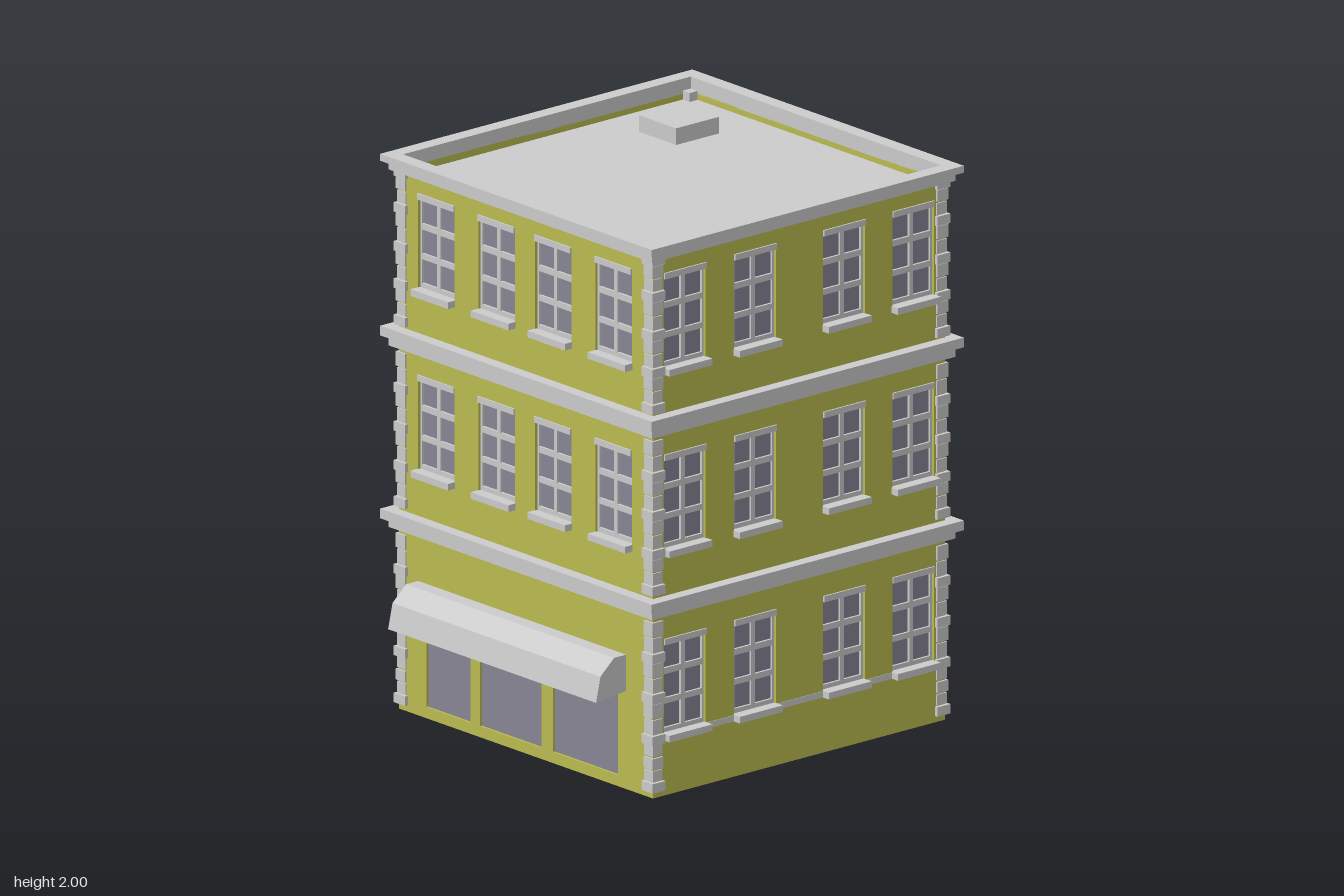
import * as THREE from 'three';

const mat = (color, extra = {}) => new THREE.MeshStandardMaterial({ color, flatShading: true, ...extra });
const STONE = mat(0xcccccc);
const WALL = mat(0xbaba50);
const GLASS = mat(0x878594, { side: THREE.DoubleSide });

// Building centre and half sizes of the wall block
const CX = 0.045, CZ = -0.0025, HX = 0.665, HZ = 0.6625;
const THICK = 0.01;
const FLOORS = [0.2, 0.865, 1.52]; // sill heights
const WIN_W = 0.19, WIN_H = 0.365;

function mesh(name, geo, material, parent) {
  const m = new THREE.Mesh(geo, material);
  m.name = name;
  parent.add(m);
  return m;
}

// Box given by its min and max corners
function box(name, x0, x1, y0, y1, z0, z1, material, parent) {
  const m = mesh(name, new THREE.BoxGeometry(x1 - x0, y1 - y0, z1 - z0), material, parent);
  m.position.set((x0 + x1) / 2, (y0 + y1) / 2, (z0 + z1) / 2);
  return m;
}

function rect(Type, x0, x1, y0, y1) {
  return new Type([[x0, y0], [x1, y0], [x1, y1], [x0, y1]].map(p => new THREE.Vector2(...p)));
}

const extrude = (shape, depth) => new THREE.ExtrudeGeometry(shape, { depth, bevelEnabled: false });

// Horizontal ring around the building, reaching out past the wall plane
function ring(name, y0, y1, out, parent) {
  const s = rect(THREE.Shape, -HX - out, HX + out, -HZ - out, HZ + out);
  s.holes.push(rect(THREE.Path, -HX + THICK, HX - THICK, -HZ + THICK, HZ - THICK));
  const m = mesh(name, extrude(s, y1 - y0), STONE, parent);
  m.rotation.x = -Math.PI / 2;
  m.position.set(CX, y0, CZ);
}

// Six-pane sash with lintel, sill and glass; origin at bottom centre
function makeWindow() {
  const g = new THREE.Group();
  g.name = 'window';
  const w = WIN_W / 2;
  const s = rect(THREE.Shape, -w, w, 0, WIN_H);
  for (const side of [-1, 1]) {
    for (const y of [0.04, 0.147, 0.255]) {
      const a = side * 0.009, b = side * 0.086;
      s.holes.push(rect(THREE.Path, Math.min(a, b), Math.max(a, b), y, y + 0.086));
    }
  }
  mesh('windowFrame', extrude(s, 0.015), STONE, g).position.z = -0.025;
  const pane = mesh('windowGlass', new THREE.PlaneGeometry(WIN_W - 0.01, WIN_H - 0.02), GLASS, g);
  pane.position.set(0, WIN_H / 2, -0.019);
  box('lintel', -w, w, WIN_H - 0.022, WIN_H, -0.02, 0.006, STONE, g);
  box('sill', -0.098, 0.098, 0, 0.024, -0.02, 0.033, STONE, g);
  return g;
}

// One facade in its own frame: u across, y up, +z outward
function makeFacade({ name, angle, half, dist, cols, floors, shop = [], band = false }) {
  const g = new THREE.Group();
  g.name = name;
  g.rotation.y = angle;
  g.position.set(CX + Math.sin(angle) * dist, 0, CZ + Math.cos(angle) * dist);

  const s = rect(THREE.Shape, -half, half, 0, 1.95);
  for (const y of floors) {
    for (const u of cols) {
      s.holes.push(rect(THREE.Path, u - WIN_W / 2, u + WIN_W / 2, y, y + WIN_H));
      const win = makeWindow();
      win.position.set(u, y, 0);
      g.add(win);
    }
  }
  // Shop openings with large recessed panes
  for (const [a, b] of shop) {
    s.holes.push(rect(THREE.Path, a, b, 0.04, 0.45));
    const pane = mesh('shopGlass', new THREE.PlaneGeometry(b - a, 0.41), GLASS, g);
    pane.position.set((a + b) / 2, 0.245, -0.009);
  }
  mesh(name + 'Wall', extrude(s, THICK), WALL, g).position.z = -THICK;

  // Stone course linking the ground-floor sills
  if (band) {
    for (let i = 0; i < cols.length - 1; i++) {
      box('sillCourse', cols[i] + 0.095, cols[i + 1] - 0.095, 0.2, 0.222, -0.012, 0.002, STONE, g);
    }
    box('sillCourse', cols[3] + 0.095, half - 0.03, 0.2, 0.222, -0.012, 0.002, STONE, g);
  }
  return g;
}

// Corner stones: wide blocks with narrow ones stacked between them
function makeQuoins(sx, sz) {
  const g = new THREE.Group();
  g.name = 'cornerStones';
  const block = (y, h, out, inset) => {
    const size = out + inset;
    const m = mesh('cornerStone', new THREE.BoxGeometry(size, h, size), STONE, g);
    m.position.set(CX + sx * (HX + (out - inset) / 2), y, CZ + sz * (HZ + (out - inset) / 2));
  };
  const stacks = [
    [0.04, 0.21, 0.36, 0.505, 0.655],
    [0.75, 0.88, 1.02, 1.16, 1.31],
    [1.405, 1.535, 1.67, 1.81, 1.94],
  ];
  for (const stack of stacks) {
    stack.forEach((y, i) => {
      if (i < 4 || stack === stacks[2]) block(y, 0.034, 0.013, 0.046);
      if (i === 4) return;
      const gap = stack[i + 1] - y - 0.034;
      const n = gap > 0.13 ? 3 : 2;
      for (let k = 0; k < n; k++) {
        block(y + 0.017 + gap * (k + 0.5) / n, gap / n - 0.006, k % 2 ? 0.008 : 0.005, 0.04);
      }
    });
  }
  return g;
}

export function createModel() {
  const root = new THREE.Group();
  root.name = 'building';

  // Facades
  const wide = [-0.52, -0.2, 0.205, 0.52];
  const deep = [-0.4675, -0.1525, 0.1425, 0.4575];
  const upper = FLOORS.slice(1);
  const sideHalf = HZ - THICK;
  root.add(
    makeFacade({ name: 'front', angle: 0, half: HX, dist: HZ, cols: wide, floors: FLOORS, band: true }),
    makeFacade({ name: 'back', angle: Math.PI, half: HX, dist: HZ, cols: wide, floors: FLOORS, band: true }),
    makeFacade({ name: 'leftSide', angle: Math.PI / 2, half: sideHalf, dist: HX, cols: deep, floors: upper }),
    makeFacade({
      name: 'rightSide', angle: -Math.PI / 2, half: sideHalf, dist: HX, cols: deep, floors: upper,
      shop: [[-0.52, -0.29], [-0.24, 0.08], [0.14, 0.48]],
    }),
  );

  // Corner stones
  for (const sx of [-1, 1]) for (const sz of [-1, 1]) root.add(makeQuoins(sx, sz));

  // Two-step cornices above each floor
  for (const [y0, y1, y2] of [[0.655, 0.685, 0.72], [1.31, 1.345, 1.38], [1.945, 1.975, 2]]) {
    ring('corniceLower', y0, y1, 0.026, root);
    ring('corniceUpper', y1, y2, 0.046, root);
  }

  // Sunken roof deck with a hatch
  box('roof', CX - HX + 0.005, CX + HX - 0.005, 1.91, 1.925, CZ - HZ + 0.005, CZ + HZ - 0.005, STONE, root);
  box('roofHatch', 0.315, 0.51, 1.92, 1.985, -0.485, -0.29, STONE, root);

  // Shop awning, swept along z
  const profile = [[-0.615, 0.355], [-0.615, 0.485], [-0.675, 0.485], [-0.737, 0.43], [-0.757, 0.34]];
  const awning = new THREE.Shape(profile.map(p => new THREE.Vector2(...p)));
  mesh('awning', extrude(awning, 1.085), STONE, root).position.z = -0.565;

  return root;
}
